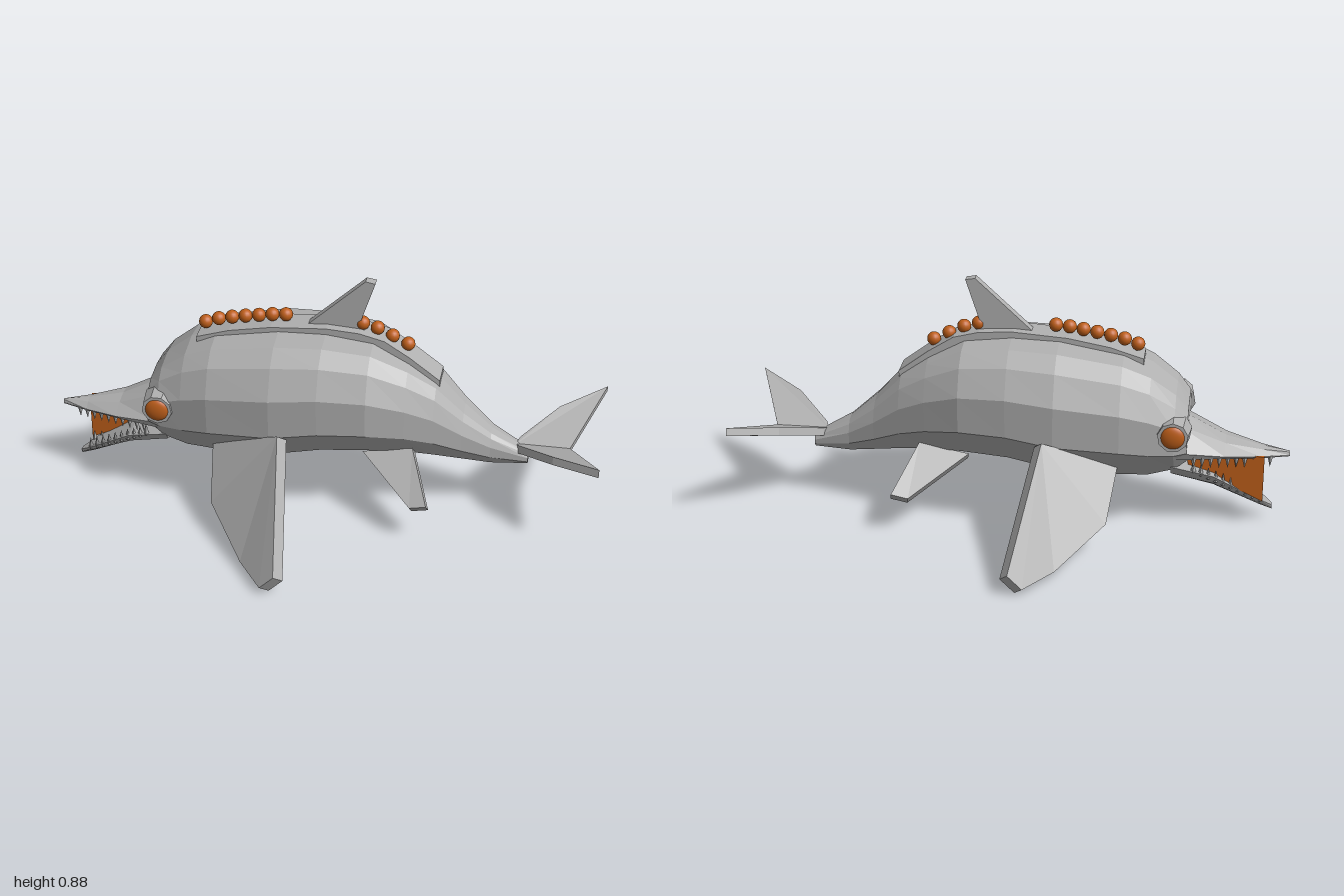
import * as THREE from 'three';

const grey = new THREE.MeshStandardMaterial({ color: 0xb0b0b0, flatShading: true });
grey.name = 'grey hide';
const orange = new THREE.MeshStandardMaterial({ color: 0xbf5f1a });
orange.name = 'orange glow';

// Closed skin over a row of rings; each ring runs counter-clockwise about the row direction
function loft(rings) {
  const pos = [];
  const tri = (a, b, c) => pos.push(...a, ...b, ...c);
  const n = rings[0].length, last = rings[rings.length - 1];
  for (let i = 0; i < rings.length - 1; i++) {
    for (let j = 0; j < n; j++) {
      const k = (j + 1) % n, p = rings[i], q = rings[i + 1];
      tri(p[j], p[k], q[k]);
      tri(p[j], q[k], q[j]);
    }
  }
  for (let j = 1; j < n - 1; j++) {
    tri(rings[0][0], rings[0][j + 1], rings[0][j]);
    tri(last[0], last[j], last[j + 1]);
  }
  const g = new THREE.BufferGeometry();
  g.setAttribute('position', new THREE.Float32BufferAttribute(pos, 3));
  g.computeVertexNormals();
  return g;
}

// Sections are [x, top, bottom, halfWidth]; half is the +z outline from top to bottom in -1..1
function hull(sections, half) {
  const outline = [...half, ...half.filter(p => p[0] > 0).reverse().map(([z, y]) => [-z, y])];
  return loft(sections.map(([x, top, bot, w]) =>
    outline.map(([z, y]) => [x, (top + bot) / 2 + y * (top - bot) / 2, z * w])));
}

// Flat plate of even thickness around a convex outline in space
function slab(points, thickness) {
  const v = points.map(p => new THREE.Vector3(...p)), normal = new THREE.Vector3();
  v.forEach((p, i) => normal.add(new THREE.Vector3().crossVectors(p, v[(i + 1) % v.length])));
  normal.normalize();
  return loft([-0.5, 0.5].map(s =>
    v.map(p => p.clone().addScaledVector(normal, s * thickness).toArray())));
}

export function createModel() {
  const model = new THREE.Group();
  const add = (name, geometry, material = grey, x = 0, y = 0, z = 0) => {
    const m = new THREE.Mesh(geometry, material);
    m.name = name;
    m.position.set(x, y, z);
    model.add(m);
    return m;
  };

  // Body and tail stock
  add('body', hull([
    [-0.635, 0.47, 0.25, 0.165], [-0.59, 0.53, 0.215, 0.185], [-0.5, 0.6, 0.19, 0.21],
    [-0.4, 0.645, 0.19, 0.237], [-0.17, 0.685, 0.2, 0.262], [0, 0.69, 0.235, 0.252],
    [0.17, 0.67, 0.245, 0.23], [0.3, 0.6, 0.24, 0.18], [0.4, 0.53, 0.225, 0.14],
    [0.5, 0.42, 0.21, 0.1], [0.6, 0.33, 0.195, 0.063], [0.735, 0.25, 0.2, 0.033],
  ], [[0, 1], [0.55, 0.92], [0.8, 0.72], [1, 0.28], [0.98, -0.35], [0.6, -0.88], [0, -1]]));

  // Jaws
  add('upperJaw', hull([
    [-1, 0.28, 0.262, 0.008], [-0.9, 0.297, 0.266, 0.052],
    [-0.77, 0.33, 0.28, 0.11], [-0.6, 0.42, 0.29, 0.17],
  ], [[0, 1], [0.5, 0.65], [1, -0.5], [0.9, -1], [0, -1]]));
  add('lowerJaw', hull([
    [-0.945, 0.065, 0.045, 0.01], [-0.9, 0.095, 0.06, 0.035],
    [-0.73, 0.205, 0.13, 0.095], [-0.58, 0.25, 0.172, 0.13],
  ], [[1, 1], [0.75, 0], [0, -1]]));
  add('mouthPlate', slab([
    [-0.91, 0.1, -0.045], [-0.64, 0.23, -0.045], [-0.62, 0.31, -0.045], [-0.91, 0.275, -0.045],
  ], 0.03), orange);

  // Teeth along both jaw edges
  const tooth = new THREE.ConeGeometry(0.011, 0.045, 4);
  for (const s of [1, -1]) {
    for (let i = 0; i < 10; i++) {
      const t = i / 9;
      add('upperTooth', tooth, grey, -0.93 + t * 0.27, 0.25 + t * 0.022, s * (0.03 + t * 0.1))
        .rotation.x = Math.PI;
      add('lowerTooth', tooth, grey, -0.9 + t * 0.24, 0.11 + t * 0.135, s * (0.026 + t * 0.075));
    }
  }

  // Strip along the back
  add('backStrip', hull([
    [-0.47, 0.628, 0.56], [-0.35, 0.665, 0.6], [-0.2, 0.692, 0.63], [0, 0.706, 0.64],
    [0.12, 0.698, 0.64], [0.21, 0.675, 0.6], [0.3, 0.618, 0.54], [0.41, 0.535, 0.47],
  ].map(s => [...s, 0.052]), [[1, 1], [1, -1]]));

  // Beads on the strip
  const bead = new THREE.SphereGeometry(0.025, 16, 12);
  [[-0.445, 0.665], [-0.397, 0.682], [-0.348, 0.693], [-0.299, 0.702], [-0.25, 0.71],
    [-0.201, 0.718], [-0.152, 0.722], [0.125, 0.715], [0.178, 0.7], [0.232, 0.673],
    [0.288, 0.646]].forEach(([x, y]) => add('backBead', bead, orange, x, y));

  // Dorsal fin
  add('dorsalFin', slab([
    [-0.08, 0.69, 0], [0.14, 0.68, 0], [0.12, 0.73, 0], [0.17, 0.882, 0], [0.135, 0.888, 0],
  ], 0.034));

  // Paired fins, flukes and eyes
  for (const [s, side] of [[1, 'left'], [-1, 'right']]) {
    const plate = (name, points, thickness) =>
      add(side + name, slab(points.map(([x, y, z]) => [x, y, z * s]), thickness));
    plate('FrontFlipper', [
      [-0.12, 0.37, 0.265], [-0.055, 0.07, 0.685], [-0.105, 0.018, 0.68],
      [-0.2, 0.022, 0.55], [-0.355, 0.095, 0.315], [-0.38, 0.25, 0.15],
    ], 0.048);
    plate('RearFlipper', [
      [0.33, 0.275, 0.11], [0.405, 0.145, 0.285], [0.345, 0.13, 0.28], [0.15, 0.24, 0.11],
    ], 0.038);
    plate('TailFluke', [
      [0.685, 0.255, 0], [0.7, 0.268, 0.035], [0.83, 0.325, 0.175],
      [0.995, 0.362, 0.285], [0.88, 0.255, 0],
    ], 0.028);

    const rim = new THREE.CylinderGeometry(0.055, 0.065, 0.08, 9).rotateX(s * Math.PI / 2);
    add(side + 'EyeRim', rim, grey, -0.587, 0.4, s * 0.168);
    add(side + 'Eye', new THREE.SphereGeometry(0.043, 20, 12).scale(1, 1, 0.4),
      orange, -0.587, 0.4, s * 0.205);
  }
  return model;
}
